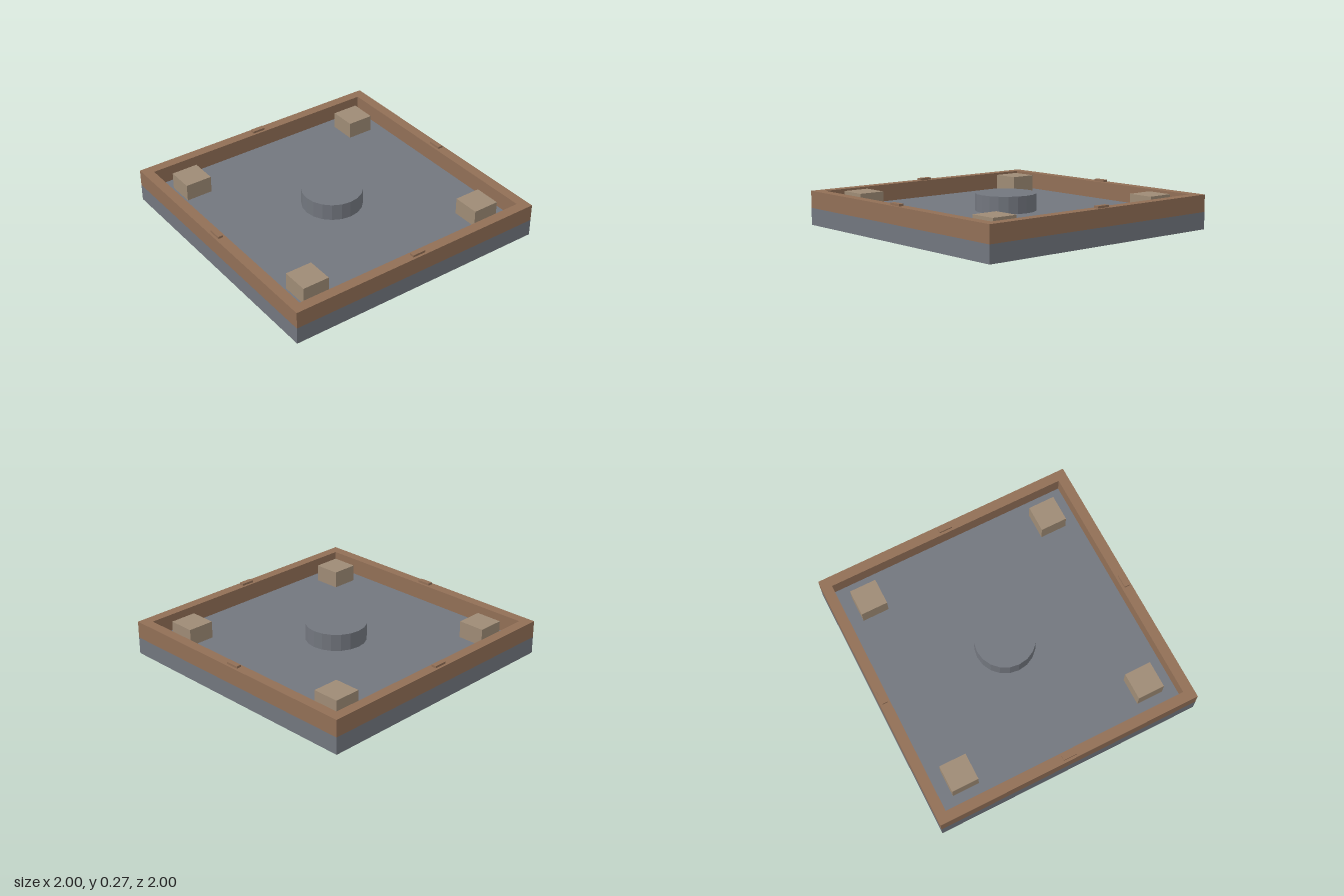
import * as THREE from 'three';

const slateGrey = new THREE.MeshStandardMaterial({ color: 0x72767e });
slateGrey.name = 'slate grey';
const woodBrown = new THREE.MeshStandardMaterial({ color: 0x916f56 });
woodBrown.name = 'wood brown';
const sandTan = new THREE.MeshStandardMaterial({ color: 0x9e8b75 });
sandTan.name = 'sand tan';

const FLOOR = 0.125, TOP = 0.25, INNER = 0.925;

function square(PathType, h) {
  return new PathType([[-h, -h], [h, -h], [h, h], [-h, h]].map(([x, y]) => new THREE.Vector2(x, y)));
}

export function createModel() {
  const group = new THREE.Group();
  group.name = 'tray';

  function add(name, geometry, material, x, y, z) {
    const mesh = new THREE.Mesh(geometry, material);
    mesh.name = name;
    mesh.position.set(x, y, z);
    group.add(mesh);
    return mesh;
  }

  // Solid slab forming the floor
  add('base', new THREE.BoxGeometry(2, FLOOR, 2), slateGrey, 0, FLOOR / 2, 0);

  // Raised square frame around the floor
  const outline = square(THREE.Shape, 1);
  outline.holes.push(square(THREE.Path, INNER));
  const rimGeometry = new THREE.ExtrudeGeometry(outline, { depth: TOP - FLOOR, bevelEnabled: false });
  rimGeometry.rotateX(-Math.PI / 2);
  add('rim', rimGeometry, woodBrown, 0, FLOOR, 0);

  // Faceted round plinth in the middle
  const plinthMaterial = slateGrey;
  const plinthGeometry = new THREE.CylinderGeometry(0.222, 0.222, TOP - FLOOR, 20).toNonIndexed();
  plinthGeometry.computeVertexNormals();
  add('plinth', plinthGeometry, plinthMaterial, 0, (FLOOR + TOP) / 2, 0);

  // Corner blocks
  const blockGeometry = new THREE.BoxGeometry(0.2, TOP - FLOOR, 0.2);
  for (const x of [-0.727, 0.727]) {
    for (const z of [-0.727, 0.727]) {
      add('cornerBlock', blockGeometry, sandTan, x, (FLOOR + TOP) / 2, z);
    }
  }

  // Small tab centred on each side of the rim
  const tabGeometry = new THREE.BoxGeometry(0.1, 0.016, 0.038);
  for (let i = 0; i < 4; i++) {
    const angle = i * Math.PI / 2;
    const tab = add('rimTab', tabGeometry, woodBrown, Math.sin(angle) * 0.963, TOP + 0.008, Math.cos(angle) * 0.963);
    tab.rotation.y = angle;
  }

  return group;
}
